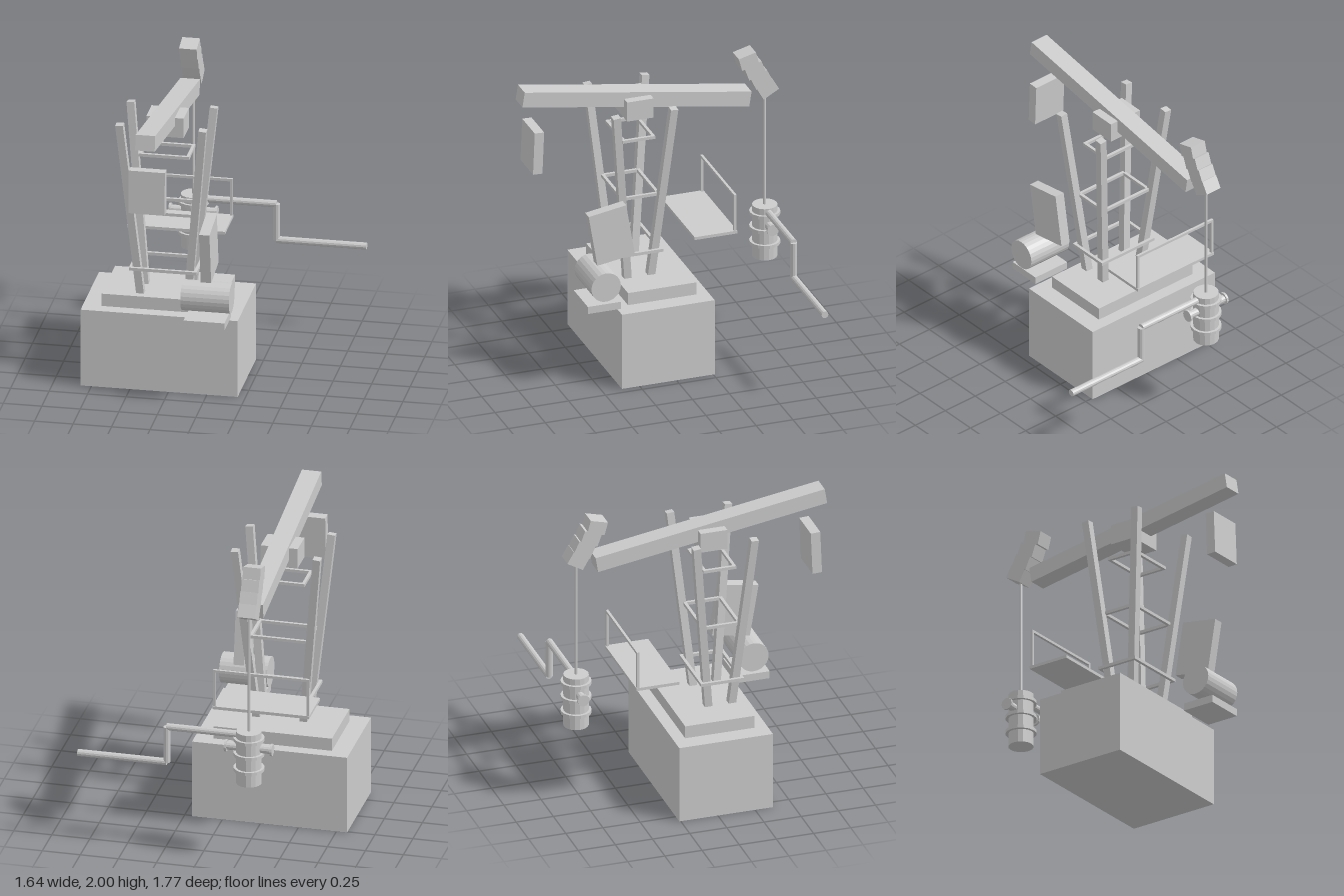
import * as THREE from 'three';

const V = (x, y, z) => new THREE.Vector3(x, y, z);
const UP = V(0, 1, 0);

export function createModel() {
  const root = new THREE.Group();
  root.name = 'pumpJack';
  const mat = new THREE.MeshStandardMaterial({ color: 0xcccccc, flatShading: true });
  const CX = -0.305; // centre line of the pump
  const WZ = -0.783; // well position

  const add = (parent, name, geo, x = 0, y = 0, z = 0, tilt = 0) => {
    const m = new THREE.Mesh(geo, mat);
    m.name = name;
    m.position.set(x, y, z);
    m.rotation.x = tilt;
    parent.add(m);
    return m;
  };
  const box = (parent, name, w, h, d, x, y, z, tilt) =>
    add(parent, name, new THREE.BoxGeometry(w, h, d), x, y, z, tilt);
  // Cylinder running between two points
  const pipe = (parent, name, a, b, r, sides = 12) => {
    const m = add(parent, name, new THREE.CylinderGeometry(r, r, a.distanceTo(b), sides));
    m.position.copy(a).lerp(b, 0.5);
    m.quaternion.setFromUnitVectors(UP, b.clone().sub(a).normalize());
    return m;
  };
  const group = (name) => {
    const g = new THREE.Group();
    g.name = name;
    root.add(g);
    return g;
  };

  // Foundation
  box(root, 'foundation', 1.02, 0.525, 0.63, -0.31, 0.2625, 0.055);
  box(root, 'skid', 0.78, 0.085, 0.465, -0.31, 0.5675, 0.0525);

  // Four splayed tower legs
  const tower = group('tower');
  const TZ = 0.13;
  for (const sx of [-1, 1]) for (const sz of [-1, 1]) {
    const a = V(CX + sx * 0.152, 0.58, TZ + sz * 0.077);
    const b = V(CX + sx * 0.27, 1.81, TZ + sz * 0.195);
    const leg = box(tower, 'towerLeg', 0.05, a.distanceTo(b), 0.05, 0, 0, 0);
    leg.position.copy(a).lerp(b, 0.5);
    leg.quaternion.setFromUnitVectors(UP, b.clone().sub(a).normalize());
  }
  // Rectangular brace rings
  for (const [y, hx, hz] of [[0.79, 0.21, 0.135], [1.18, 0.184, 0.12], [1.57, 0.155, 0.1]]) {
    for (const s of [-1, 1]) {
      box(tower, 'braceRail', 2 * hx + 0.02, 0.02, 0.02, CX, y, TZ + s * hz);
      box(tower, 'braceSide', 0.02, 0.02, 2 * hz, CX + s * hx, y, TZ);
    }
  }
  box(tower, 'saddleBearing', 0.243, 0.135, 0.18, CX, 1.7575, 0.105);

  // Rocking beam and its curved head
  box(root, 'walkingBeam', 0.127, 0.103, 1.56, CX, 1.806, 0.107, -0.158);
  const head = group('beamHead');
  for (let i = 0; i < 4; i++) {
    const t = i / 3;
    box(head, 'headSegment', 0.115, 0.088, 0.12, CX,
      1.946 - 0.217 * t, -0.656 - 0.13 * t, 0.26 + 0.26 * t);
  }
  box(root, 'counterweight', 0.235, 0.29, 0.064, CX, 1.561, 0.795, -0.04);

  // Drive
  pipe(root, 'motor', V(-0.135, 0.725, 0.47), V(0.18, 0.725, 0.47), 0.1, 24);
  box(root, 'motorBase', 0.265, 0.05, 0.225, 0.022, 0.57, 0.4725);
  box(root, 'beltGuard', 0.068, 0.36, 0.258, 0.015, 1.02, 0.384, 0.165);

  // Work platform with handrail
  const deck = group('platform');
  box(deck, 'deck', 0.635, 0.02, 0.29, -0.3075, 0.885, -0.338);
  for (const x of [-0.615, 0]) box(deck, 'railPost', 0.017, 0.25, 0.017, x, 1.02, -0.47);
  box(deck, 'handrail', 0.632, 0.017, 0.017, -0.3075, 1.14, -0.47);

  // Wellhead with flanges and side valves
  const well = group('wellhead');
  pipe(well, 'wellBody', V(CX, 0.53, WZ), V(CX, 0.893, WZ), 0.082, 16);
  for (const y of [0.63, 0.735, 0.838]) {
    pipe(well, 'flange', V(CX, y - 0.011, WZ), V(CX, y + 0.011, WZ), 0.1, 16);
  }
  for (const s of [-1, 1]) {
    pipe(well, 'valveStub', V(CX, 0.775, WZ), V(CX + s * 0.15, 0.775, WZ), 0.027);
    pipe(well, 'valveCap', V(CX + s * 0.143, 0.775, WZ), V(CX + s * 0.157, 0.775, WZ), 0.04);
  }
  pipe(well, 'polishedRod', V(CX, 0.88, WZ), V(CX, 1.7, WZ), 0.01, 8);

  // Stepped flow line
  const line = group('flowLine');
  pipe(line, 'upperPipe', V(CX, 0.862, WZ), V(0.235, 0.862, WZ), 0.023);
  pipe(line, 'dropPipe', V(0.235, 0.862, WZ), V(0.235, 0.615, WZ), 0.023);
  pipe(line, 'lowerPipe', V(0.235, 0.615, WZ), V(0.82, 0.615, WZ), 0.023);

  return root;
}
